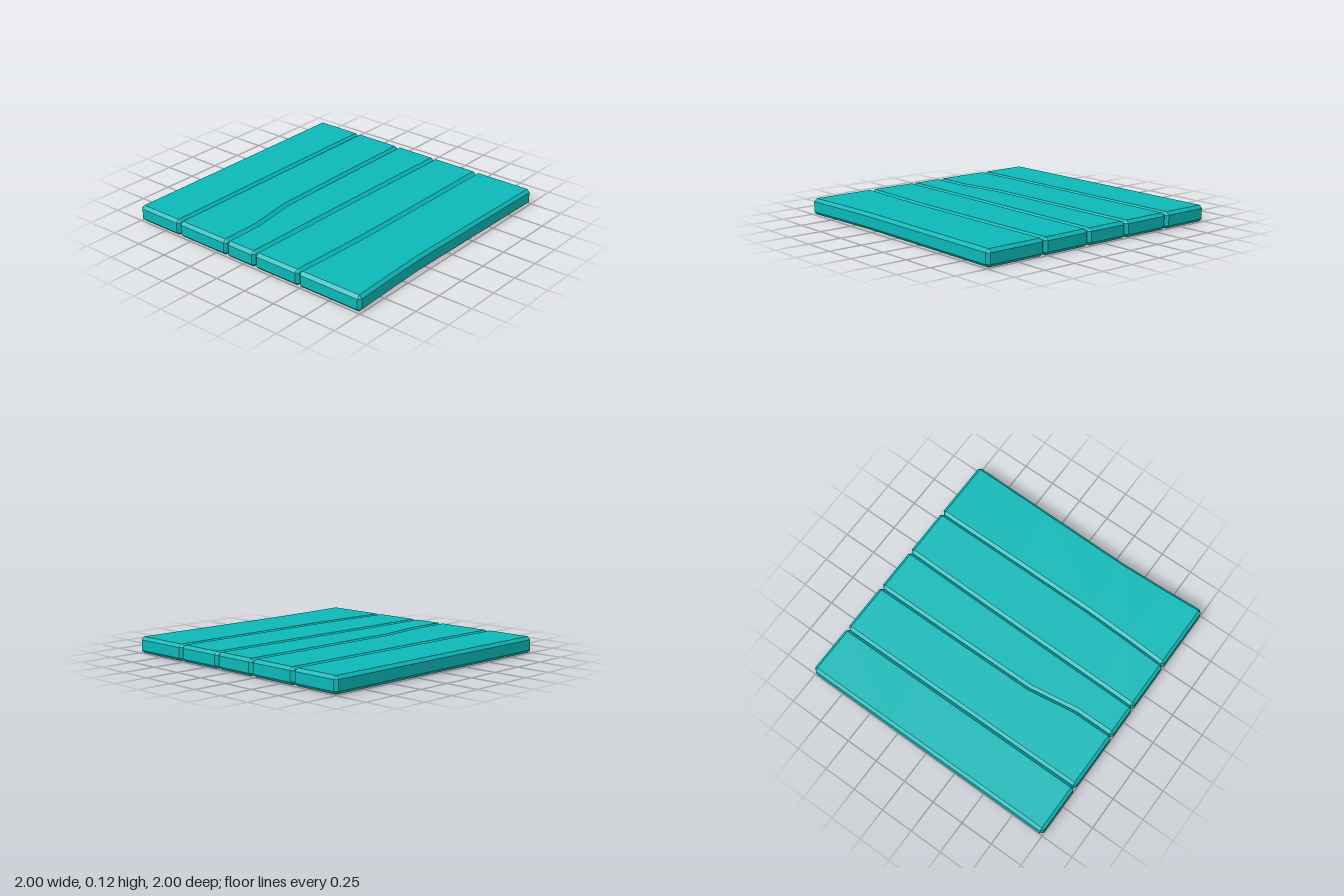
import * as THREE from 'three';

const HEIGHT = 0.12, BEVEL = 0.022, GAP = 0.001;

// Stations along the planks, and the x of each seam at those stations
const STATIONS = [-1, -1 + BEVEL, -0.33, 0.33, 0.69, 1 - BEVEL, 1];
const SEAMS = [
  [-1, -1, -1, -1, -1, -1, -1],
  [-0.61, -0.61, -0.61, -0.61, -0.61, -0.61, -0.61],
  [-0.213, -0.213, -0.213, -0.21, -0.157, -0.157, -0.157],
  [0.134, 0.134, 0.121, 0.11, 0.105, 0.101, 0.101],
  [0.522, 0.522, 0.52, 0.515, 0.501, 0.486, 0.486],
  [0.996, 0.996, 0.986, 0.976, 0.987, 1, 1],
];

// Bevelled plank lofted through eight-sided cross-sections
function plankGeometry(left, right) {
  const positions = [], index = [];
  const last = STATIONS.length - 1, b = BEVEL;
  STATIONS.forEach((z, i) => {
    const end = i === 0 || i === last ? b : 0;
    const x0 = left[i] + GAP, x1 = right[i] - GAP;
    const low = end, high = HEIGHT - end;
    const section = [
      [x0 + b, low], [x1 - b, low], [x1 - end, b], [x1 - end, HEIGHT - b],
      [x1 - b, high], [x0 + b, high], [x0 + end, HEIGHT - b], [x0 + end, b],
    ];
    section.forEach(([x, y]) => positions.push(x, y, z));
  });
  for (let i = 0; i < last; i++) {
    for (let j = 0; j < 8; j++) {
      const a = i * 8 + j, c = i * 8 + ((j + 1) % 8);
      index.push(a, c, c + 8, a, c + 8, a + 8);
    }
  }
  // End caps
  for (let j = 1; j < 7; j++) {
    index.push(0, j + 1, j);
    index.push(last * 8, last * 8 + j, last * 8 + j + 1);
  }
  const geometry = new THREE.BufferGeometry();
  geometry.setAttribute('position', new THREE.Float32BufferAttribute(positions, 3));
  geometry.setIndex(index);
  const flat = geometry.toNonIndexed();
  flat.computeVertexNormals();
  return flat;
}

export function createModel() {
  const group = new THREE.Group();
  group.name = 'plankFloor';
  const material = new THREE.MeshStandardMaterial({ color: 0x0cb8b8, flatShading: true });
  for (let i = 0; i < SEAMS.length - 1; i++) {
    const plank = new THREE.Mesh(plankGeometry(SEAMS[i], SEAMS[i + 1]), material);
    plank.name = `plank${i + 1}`;
    group.add(plank);
  }
  return group;
}
